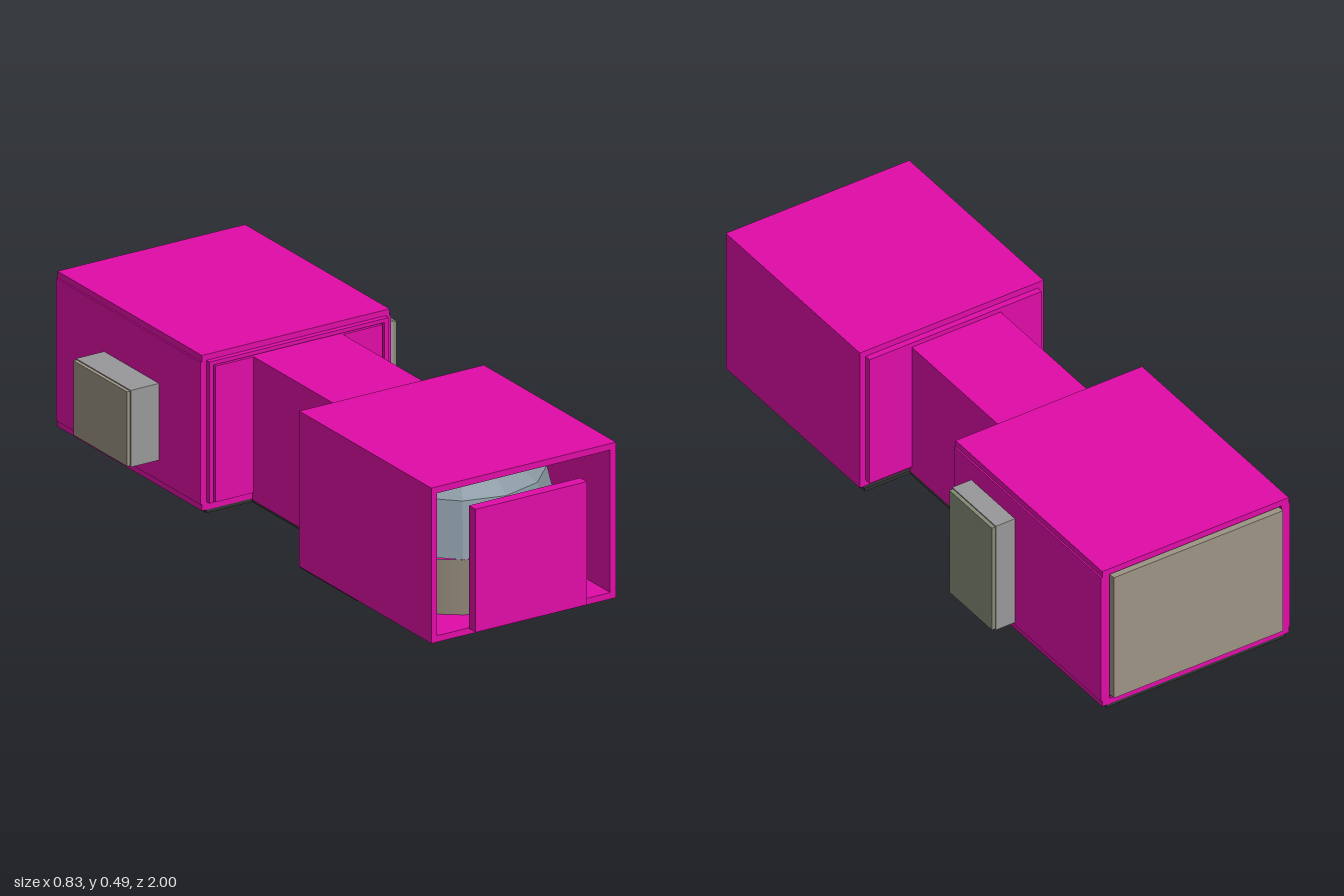
import * as THREE from 'three';

const material = (color, side = THREE.FrontSide) => new THREE.MeshStandardMaterial({ color, side });
const magenta = material(0xe00ca8);
const beige = material(0x9c9484);
const grey = material(0x98989a);
const olive = material(0x868b76);
const dark = material(0x333333);
const CX = 0.015; // centre line of the rooms

function add(parent, name, geometry, mat) {
  const mesh = new THREE.Mesh(geometry, mat);
  mesh.name = name;
  parent.add(mesh);
  return mesh;
}

// Box given by its low and high limits on each axis
function box(parent, name, mat, [x0, x1], [y0, y1], [z0, z1]) {
  const mesh = add(parent, name, new THREE.BoxGeometry(x1 - x0, y1 - y0, z1 - z0), mat);
  mesh.position.set((x0 + x1) / 2, (y0 + y1) / 2, (z0 + z1) / 2);
  return mesh;
}

// Hollow room made of floor, roof and two side walls
function room(name, half, slabHalf, z) {
  const group = new THREE.Group();
  group.name = name;
  box(group, 'floor', magenta, [CX - slabHalf, CX + slabHalf], [0.01, 0.03], z);
  box(group, 'roof', magenta, [CX - slabHalf, CX + slabHalf], [0.47, 0.49], z);
  box(group, 'rightWall', magenta, [CX - half, CX - 0.295], [0.03, 0.47], z);
  box(group, 'leftWall', magenta, [CX + 0.295, CX + half], [0.03, 0.47], z);
  return group;
}

// Thin frame strips with corner gussets, lying on an end wall facing +z
function frame(parent, z) {
  box(parent, 'topStrip', beige, [CX - 0.245, CX + 0.245], [0.45, 0.469], [z, z + 0.012]);
  for (const s of [-1, 1]) {
    const x = [CX + s * 0.294, CX + s * 0.275].sort((a, b) => a - b);
    box(parent, 'sideStrip', beige, x, [0.03, 0.42], [z, z + 0.012]);
    const shape = new THREE.Shape([
      new THREE.Vector2(s * 0.294, 0.469),
      new THREE.Vector2(s * 0.294, 0.42),
      new THREE.Vector2(s * 0.247, 0.42),
    ]);
    const gusset = new THREE.ExtrudeGeometry(shape, { depth: 0.015, bevelEnabled: false });
    add(parent, 'cornerGusset', gusset, beige).position.set(CX, 0, z);
  }
}

export function createModel() {
  const model = new THREE.Group();
  model.name = 'twinRoomModule';

  // Front room, open at the front
  const front = room('frontRoom', 0.315, 0.315, [0.27, 0.96]);
  box(front, 'endWall', magenta, [-0.28, 0.31], [0.03, 0.47], [0.25, 0.275]);
  frame(front, 0.275);
  box(front, 'doorPanel', magenta, [-0.175, 0.205], [0.03, 0.41], [0.965, 1]);
  model.add(front);

  // Domed tank standing in the front room
  const tank = new THREE.Group();
  tank.name = 'domedTank';
  tank.position.set(CX, 0, 0.615);
  const body = new THREE.CylinderGeometry(0.295, 0.295, 0.17, 24, 1, true);
  add(tank, 'tankBody', body, material(0x8f8777, THREE.DoubleSide)).position.y = 0.115;
  const profile = [[0.295, 0.2], [0.255, 0.365], [0.145, 0.44], [0, 0.467]]
    .map(([r, y]) => new THREE.Vector2(r, y));
  const domeMaterial = material(0x8796a0, THREE.DoubleSide);
  domeMaterial.flatShading = true;
  add(tank, 'tankDome', new THREE.LatheGeometry(profile, 12), domeMaterial);
  box(tank, 'tankKnob', dark, [0.12, 0.15], [0.165, 0.195], [0.25, 0.285]);
  model.add(tank);

  // Rear room with inset end panels
  const rear = room('rearRoom', 0.325, 0.32, [-0.985, -0.23]);
  box(rear, 'frontPanel', magenta, [-0.27, 0.3], [0.035, 0.455], [-0.24, -0.213]);
  box(rear, 'frontGasket', beige, [-0.28, 0.31], [0.03, 0.47], [-0.25, -0.235]);
  box(rear, 'rearPanel', beige, [-0.275, 0.305], [0.037, 0.465], [-1, -0.975]);
  box(rear, 'rearGasket', dark, [-0.28, 0.31], [0.03, 0.47], [-0.978, -0.965]);
  // Collar strips around the front panel
  box(rear, 'collarTop', magenta, [-0.29, 0.32], [0.46, 0.472], [-0.235, -0.213]);
  for (const s of [-1, 1]) {
    const x = [CX + s * 0.305, CX + s * 0.292].sort((a, b) => a - b);
    box(rear, 'collarSide', magenta, x, [0.035, 0.472], [-0.235, -0.213]);
  }
  model.add(rear);

  // Corridor joining the rooms
  box(model, 'corridor', magenta, [-0.14, 0.165], [0.01, 0.455], [-0.22, 0.26]);

  // Dark underside plates
  const plates = [['rearBase', 0.305, -0.985, -0.23], ['corridorBase', 0.15, -0.23, 0.26], ['frontBase', 0.305, 0.26, 0.56]];
  for (const [name, half, z0, z1] of plates) {
    box(model, name, dark, [CX - half, CX + half], [0, 0.0105], [z0, z1]);
  }

  // Side boxes, each with a slightly smaller outer lid
  box(model, 'leftBox', grey, [0.335, 0.405], [0.038, 0.407], [-0.543, -0.318]);
  box(model, 'leftBoxLid', olive, [0.4, 0.417], [0.041, 0.403], [-0.54, -0.321]);
  box(model, 'rightBox', grey, [-0.406, -0.305], [0.093, 0.33], [-0.733, -0.447]);
  box(model, 'rightBoxLid', beige, [-0.417, -0.4], [0.097, 0.327], [-0.73, -0.45]);

  return model;
}
